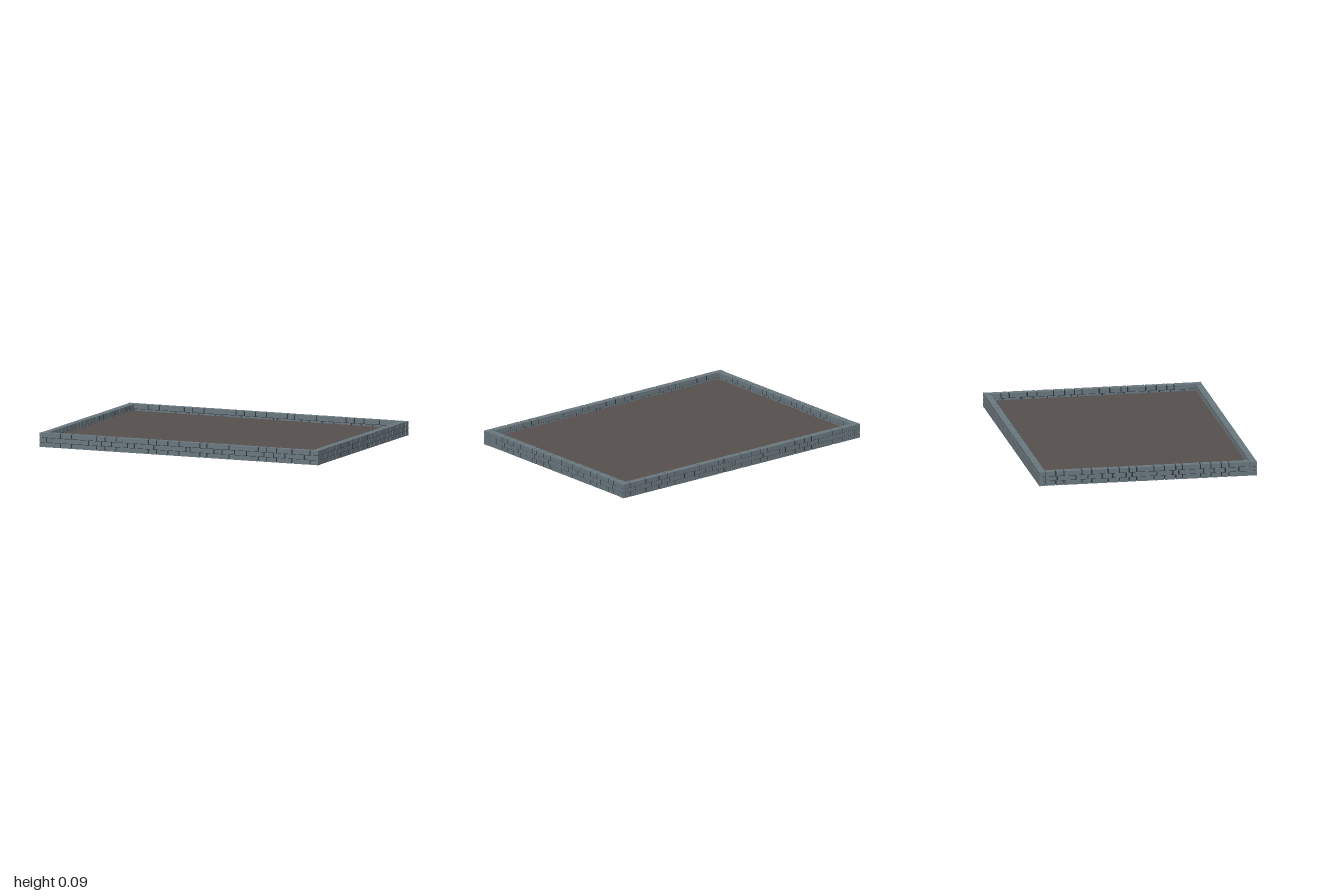
import * as THREE from 'three';
import { mergeGeometries } from 'three/addons/utils/BufferGeometryUtils.js';

const material = (name, color) => {
  const m = new THREE.MeshStandardMaterial({ color });
  m.name = name;
  return m;
};

// Joint positions along the walls for the outer courses and the middle course
const LONG_OUTER = [-0.85, -0.77, -0.59, -0.53, -0.45, -0.22, -0.16, -0.08, 0, 0.15, 0.2, 0.36, 0.57, 0.63, 0.7, 0.81, 0.94];
const LONG_MIDDLE = [-0.95, -0.65, -0.555, -0.485, -0.37, -0.32, -0.18, 0.05, 0.08, 0.25, 0.31, 0.4, 0.485, 0.61, 0.68, 0.76, 0.9];
const SHORT_OUTER = [-0.615, -0.56, -0.44, -0.375, -0.265, -0.19, -0.125, -0.075, 0.04, 0.11, 0.185, 0.23, 0.35, 0.42, 0.49, 0.54];
const SHORT_MIDDLE = [-0.605, -0.48, -0.4, -0.305, -0.235, -0.145, -0.105, 0.06, 0.165, 0.205, 0.37, 0.44, 0.515, 0.605];

const COURSES = [[0, 0.03], [0.033, 0.061], [0.064, 0.094]];
const GAP = 0.008;

// One wall along x: three courses of bricks, gaps at the joints
function brickWall(half, thickness, outer, middle) {
  const bricks = [];
  COURSES.forEach(([y0, y1], course) => {
    const ends = [-half - GAP / 2, ...(course === 1 ? middle : outer), half + GAP / 2];
    for (let i = 0; i < ends.length - 1; i++) {
      const brick = new THREE.BoxGeometry(ends[i + 1] - ends[i] - GAP, y1 - y0, thickness);
      brick.translate((ends[i] + ends[i + 1]) / 2, (y0 + y1) / 2, 0);
      bricks.push(brick);
    }
  });
  return mergeGeometries(bricks);
}

// Soil slab whose underside rises towards one corner
function soilSlab(x, z, bottom, top) {
  const outline = [[-x, -z], [x, -z], [x, z], [-0.78, z], [-x, z]];
  const points = [
    ...outline.map(([px, pz], i) => [px, i === 4 ? top - 0.008 : bottom, pz]),
    ...outline.map(([px, pz]) => [px, top, pz]),
  ];
  const index = [0, 1, 2, 0, 2, 3, 0, 3, 4, 5, 7, 6, 5, 8, 7, 5, 9, 8];
  for (let i = 0; i < 5; i++) {
    const j = (i + 1) % 5;
    index.push(i, i + 5, j + 5, i, j + 5, j);
  }
  const indexed = new THREE.BufferGeometry();
  indexed.setAttribute('position', new THREE.Float32BufferAttribute(points.flat(), 3));
  indexed.setIndex(index);
  const geometry = indexed.toNonIndexed();
  geometry.computeVertexNormals();
  return geometry;
}

export function createModel() {
  const stone = material('slate stone', 0x6a777e);
  const mortar = material('dark mortar', 0x2b353b);
  const soil = material('soil', 0x554f4d);

  const model = new THREE.Group();
  model.name = 'raisedBed';

  const addWall = (name, geometry, half, thickness, x, z, turn) => {
    const wall = new THREE.Group();
    wall.name = name;
    const bricks = new THREE.Mesh(geometry, stone);
    bricks.name = name + 'Bricks';
    // Mortar core set slightly behind the brick faces
    const core = new THREE.Mesh(new THREE.BoxGeometry(2 * half - 0.006, 0.086, thickness - 0.006), mortar);
    core.name = name + 'Mortar';
    core.position.y = 0.047;
    wall.add(bricks, core);
    wall.position.set(x, 0, z);
    wall.rotation.y = turn;
    model.add(wall);
  };

  // Front and back walls run the full width
  const longWall = brickWall(1, 0.042, LONG_OUTER, LONG_MIDDLE);
  addWall('frontWall', longWall, 1, 0.042, 0, 0.704, 0);
  addWall('backWall', longWall, 1, 0.042, 0, -0.704, 0);

  // Side walls fit between them
  const sideWall = brickWall(0.679, 0.046, SHORT_OUTER.map((v) => -v).reverse(), SHORT_MIDDLE.map((v) => -v).reverse());
  addWall('leftWall', sideWall, 0.683, 0.046, 0.973, 0, Math.PI / 2);
  addWall('rightWall', sideWall, 0.683, 0.046, -0.973, 0, Math.PI / 2);

  const bed = new THREE.Mesh(soilSlab(0.96, 0.69, 0.006, 0.05), soil);
  bed.name = 'soilBed';
  model.add(bed);

  return model;
}
